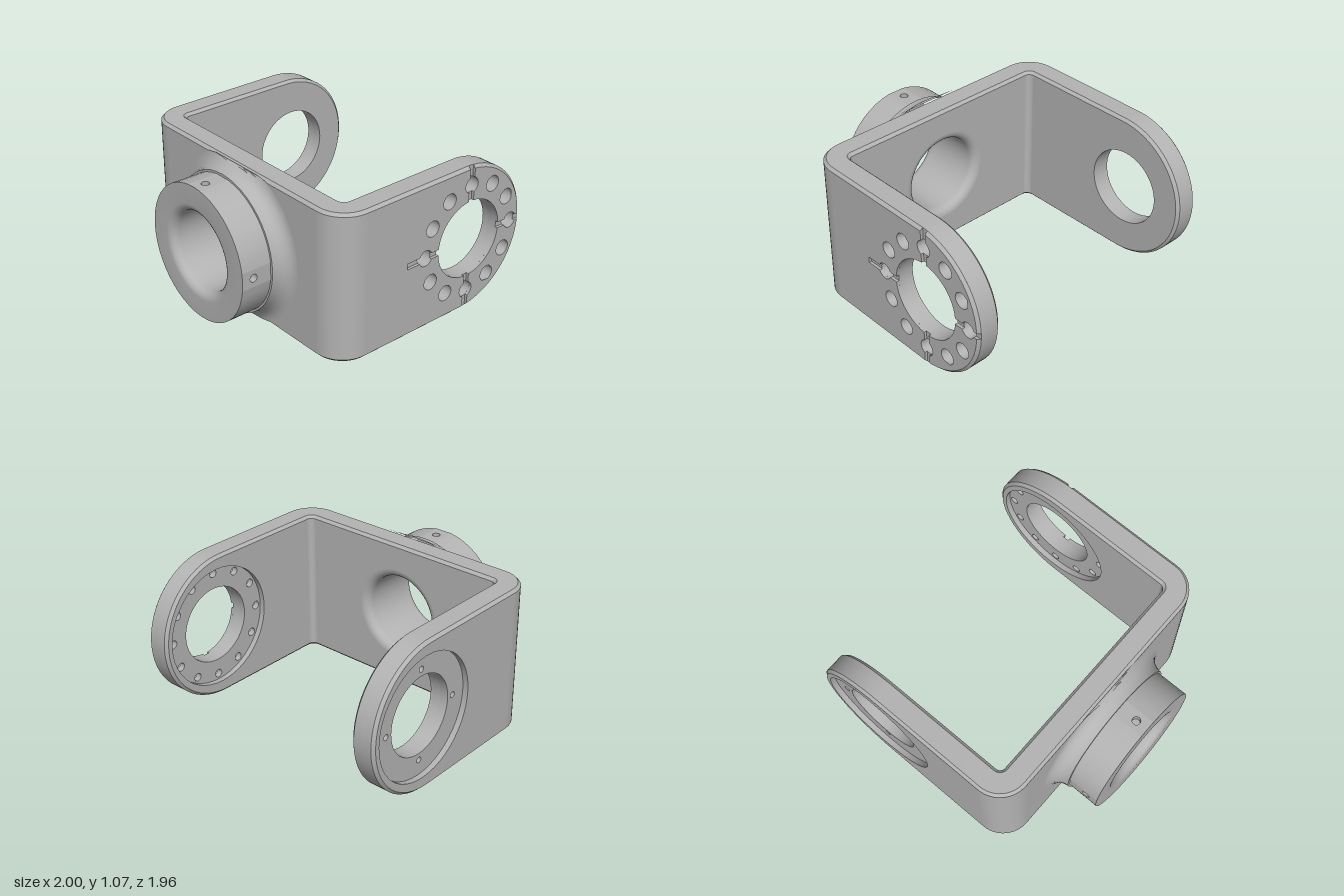
import * as THREE from 'three';
import { mergeGeometries, toCreasedNormals } from 'three/addons/utils/BufferGeometryUtils.js';

const H = 1.07, MID = H / 2, EDGE = 0.02;      // height, mid height, edge chamfer
const END = 0.445, AXIS = 0.487;               // arm coordinates s = -z: round end centre, bore centre
const BORE = 0.28, BOLT_RING = 0.395, BOLT = 0.057, SLOT = 0.022;
const START = -0.425, PI = Math.PI;

const V = (x, y) => new THREE.Vector2(x, y);

function arc(cx, cy, r, a0, a1, n) {
  return Array.from({ length: n + 1 }, (_, i) => {
    const a = a0 + (a1 - a0) * i / n;
    return V(cx + r * Math.cos(a), cy + r * Math.sin(a));
  });
}
const circle = (x, y, r, n = 20) => new THREE.Path(arc(x, y, r, 0, 2 * PI, n).slice(0, -1));
const onRing = (r, a) => [AXIS + r * Math.cos(a), MID + r * Math.sin(a)];
const ringHoles = (count, ring, r) =>
  Array.from({ length: count }, (_, i) => circle(...onRing(ring, i * 2 * PI / count), r));

function shapeOf(points, holes = []) {
  const shape = new THREE.Shape(points);
  shape.holes.push(...holes);
  return shape;
}
const armShape = (holes) => shapeOf(
  [V(START, 0), ...arc(END, MID, MID, -PI / 2, PI / 2, 40), V(START, H)], holes);

// pulls the outline in at an outside face, giving a chamfered edge
function soften(geometry, face) {
  const p = geometry.attributes.position;
  for (let i = 0; i < p.count; i++) {
    if (Math.abs(p.getZ(i) - face) > 1e-4) continue;
    const x = p.getX(i), dx = x - END, dy = p.getY(i) - MID;
    const lim = MID - EDGE, r = Math.hypot(dx, dy);
    if (x > END + 1e-4 && r > lim) p.setXY(i, END + dx * lim / r, MID + dy * lim / r);
    else if (x <= END + 1e-4) p.setY(i, MID + THREE.MathUtils.clamp(dy, -lim, lim));
  }
}

// a slab made of stacked layers: [shapes, from, to, chamfered face]
function slab(layers) {
  return mergeGeometries(layers.map(([shapes, from, to, face]) => {
    const g = new THREE.ExtrudeGeometry(shapes, { depth: to - from, bevelEnabled: false, curveSegments: 24 });
    g.translate(0, 0, from);
    if (face !== undefined) soften(g, face);
    return toCreasedNormals(g, 0.5);
  }));
}

// outer skin of the drilled arm, split by four radial slots
function slottedSkin() {
  const b = Math.asin(SLOT / BOLT), d = Math.asin(SLOT / BORE);
  const bulge = (a, side) => arc(...onRing(BOLT_RING, a), BOLT, a + side * (PI - b), a + side * b, 8);
  const rim = (a0, a1) => arc(AXIS, MID, BORE, a0, a1, 12);
  const holes = (...degrees) => degrees.map((a) => circle(...onRing(BOLT_RING, a * PI / 180), BOLT));
  const quarter = [
    ...bulge(0, 1), ...arc(END, MID, MID, 0.041, 1.451, 20),
    ...bulge(PI / 2, -1).reverse(), ...rim(PI / 2 - d, d),
  ];
  const body = [
    ...bulge(PI / 2, 1), V(AXIS - SLOT, H), V(START, H), V(START, 0), V(AXIS - SLOT, 0),
    ...bulge(-PI / 2, -1).reverse(), ...rim(-PI / 2 - d, -PI + d),
    ...bulge(PI, 1), V(-0.07, MID - SLOT), V(-0.07, MID + SLOT),
    ...bulge(PI, -1).reverse(), ...rim(PI - d, PI / 2 + d),
  ];
  return [
    shapeOf(quarter, holes(30, 60)),
    shapeOf(quarter.map((p) => V(p.x, H - p.y)), holes(-30, -60)),
    shapeOf(body, holes(120, 150, 210, 240)),
  ];
}

export function createModel() {
  const model = new THREE.Group();
  model.name = 'yokeBracket';
  const metal = new THREE.MeshStandardMaterial({ color: 0xb3b3b3 });
  metal.name = 'grey metal';
  const add = (name, geometry, parent = model) => {
    const mesh = new THREE.Mesh(geometry, metal);
    mesh.name = name;
    parent.add(mesh);
    return mesh;
  };

  const bore = () => circle(AXIS, MID, BORE, 48);
  const recess = armShape([circle(AXIS, MID, 0.44, 48)]);
  const plain = armShape([bore()]);

  // left arm: twelve counterbored holes, slots outside, recess inside
  const drilled = (r) => armShape([bore(), ...ringHoles(12, BOLT_RING, r)]);
  add('leftArm', slab([
    [recess, 0.825, 0.845, 0.825],
    [recess, 0.845, 0.865],
    [drilled(0.03), 0.865, 0.91],
    [drilled(BOLT), 0.91, 0.98],
    [slottedSkin(), 0.98, 1, 1],
  ]).rotateY(PI / 2));

  // right arm: recess and four small holes outside
  add('rightArm', slab([
    [recess, -1, -0.98, -1],
    [recess, -0.98, -0.96],
    [armShape([bore(), ...ringHoles(4, 0.33, 0.021)]), -0.96, -0.9],
    [plain, -0.9, -0.845],
    [plain, -0.845, -0.825, -0.825],
  ]).rotateY(PI / 2));

  // cross plate joining the arms; shifted in x so the chamfer acts on straight edges only
  const plate = shapeOf([V(-1.785, 0), V(-0.215, 0), V(-0.215, H), V(-1.785, H)],
    [circle(-1, MID, 0.34, 48)]);
  add('crossPlate', slab([
    [plate, 0.465, 0.485, 0.465],
    [plate, 0.485, 0.62],
    [plate, 0.62, 0.64, 0.64],
  ]).translate(1, 0, 0));

  // rounded corners between plate and arms
  const ri = 0.04, ro = 0.215;
  const section = [
    V(ri + EDGE, 0), V(ro - EDGE, 0), V(ro, EDGE), V(ro, H - EDGE), V(ro - EDGE, H),
    V(ri + EDGE, H), V(ri, H - EDGE), V(ri, EDGE), V(ri + EDGE, 0),
  ];
  for (const [name, side, phi] of [['leftCorner', 1, 0], ['rightCorner', -1, 1.5 * PI]]) {
    const corner = toCreasedNormals(new THREE.LatheGeometry(section, 12, phi, PI / 2), 0.5);
    add(name, corner.translate(side * 0.785, 0, 0.425));
  }

  // front boss
  const boss = new THREE.Group();
  boss.name = 'boss';
  boss.position.y = MID;
  model.add(boss);
  const turned = (points, segments, phi, length) => {
    const g = new THREE.LatheGeometry(points, segments, phi, length).rotateX(PI / 2);
    const p = g.attributes.position;
    for (let i = 0; i < p.count; i++) p.setY(i, THREE.MathUtils.clamp(p.getY(i), -0.533, 0.533));
    return toCreasedNormals(g, 0.5);
  };
  const flare = Array.from({ length: 9 }, (_, i) => {
    const a = PI / 2 * (1 - i / 8);
    return V(0.6 - 0.105 * Math.cos(a), 0.755 - 0.115 * Math.sin(a));
  });
  add('flaredCollar', turned([...flare, V(0.475, 0.755)], 48));
  add('boreAndFace', turned([
    V(0.48, 0.98), ...arc(0.34, 0.92, 0.06, PI / 2, PI, 6),
    ...arc(0.34, 0.525, 0.06, PI, 1.5 * PI, 6),
  ], 48));

  // boss wall in four sectors, with a drilled facet between each pair
  const step = PI / 24, R = 0.48;
  const half = R * Math.sin(step), flat = R * Math.cos(step);
  const outline = [V(-half, -0.98), V(half, -0.98), V(half, -0.755), V(-half, -0.755)];
  const facet = slab([
    [shapeOf(outline), flat - 0.08, flat - 0.05],
    [shapeOf(outline, [circle(0, -0.89, 0.028)]), flat - 0.05, flat],
  ]).rotateX(-PI / 2);
  for (let k = 0; k < 4; k++) {
    add('bossWall', turned([V(R, 0.755), V(R, 0.98)], 10, k * PI / 2 + step, PI / 2 - 2 * step), boss);
    add('screwHoleFacet', facet, boss).rotation.z = k * PI / 2;
  }
  for (const name of ['flaredCollar', 'boreAndFace']) boss.add(model.getObjectByName(name));

  return model;
}
